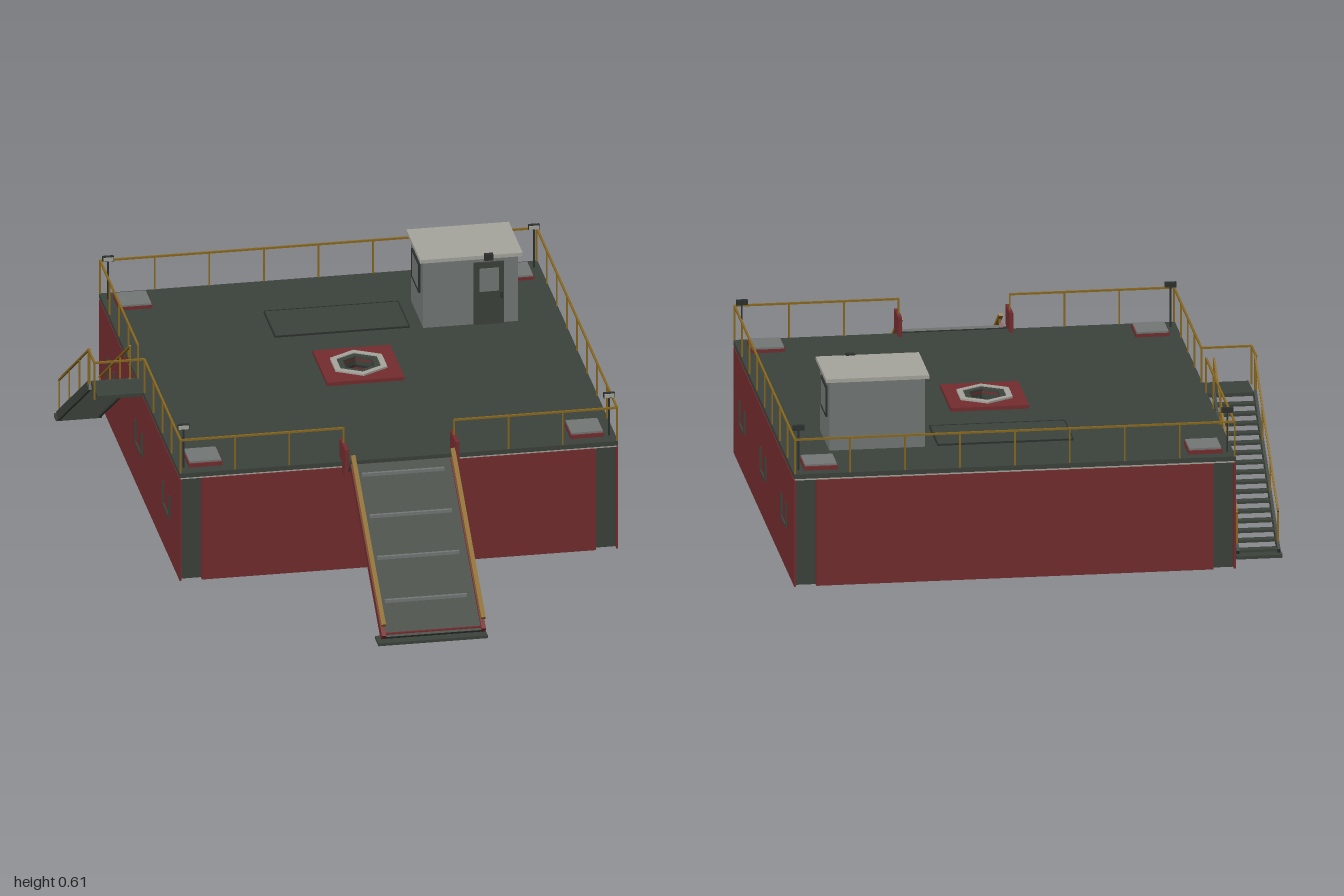
import * as THREE from 'three';

const material = (name, color, side = THREE.FrontSide) => {
  const m = new THREE.MeshStandardMaterial({ color, side });
  m.name = name;
  return m;
};
const red = material('hull red', 0x742c2e);
const green = material('deck green', 0x3c423b);
const dark = material('dark steel', 0x2b302d);
const gray = material('pad gray', 0x737876);
const pale = material('roof gray', 0xa6a69e);
const gold = material('rail yellow', 0x8a681e);

// Barge limits and centre
const L = -0.62, R = 0.77, B = -1, F = 0.4, CX = 0.075, CZ = -0.3, DECK = 0.367;

export function createModel() {
  const model = new THREE.Group();
  let target = model;
  const part = (name) => {
    target = new THREE.Group();
    target.name = name;
    model.add(target);
  };
  const add = (name, geo, mat) => {
    const m = new THREE.Mesh(geo, mat);
    m.name = name;
    target.add(m);
    return m;
  };
  // Box given by its limits on each axis
  const box = (name, mat, x0, x1, y0, y1, z0, z1) => {
    const m = add(name, new THREE.BoxGeometry(x1 - x0, y1 - y0, z1 - z0), mat);
    m.position.set((x0 + x1) / 2, (y0 + y1) / 2, (z0 + z1) / 2);
    return m;
  };
  // Bar of width w and height h running from a to b
  const bar = (name, mat, a, b, w = 0.005, h = w) => {
    const p = new THREE.Vector3(...a), q = new THREE.Vector3(...b);
    const m = add(name, new THREE.BoxGeometry(w, h, p.distanceTo(q)), mat);
    m.position.copy(p).add(q).multiplyScalar(0.5);
    m.lookAt(q);
    return m;
  };
  const hexPoints = (r) => Array.from({ length: 6 }, (_, i) => {
    const t = Math.PI / 2 + i * Math.PI / 3;
    return new THREE.Vector2(r * Math.cos(t), r * Math.sin(t));
  });
  const rect = (w, d) => [[-w, -d], [w, -d], [w, d], [-w, d]].map((p) => new THREE.Vector2(...p));
  // Flat slab around the centre well, with a hexagonal hole
  const slab = (name, mat, outline, hole, y, h) => {
    const s = new THREE.Shape(outline);
    s.holes.push(new THREE.Path(hexPoints(hole)));
    const g = new THREE.ExtrudeGeometry(s, { depth: h, bevelEnabled: false });
    g.rotateX(-Math.PI / 2);
    add(name, g, mat).position.set(CX, y, CZ);
  };

  // Hull: open below, with recessed dark corners on the front and back
  part('hull');
  const T = 0.07, top = 0.346;
  box('leftWall', red, R - T, R - 0.006, 0, top, B + 0.025, F - 0.025);
  box('rightWall', red, L + 0.006, L + T, 0, top, B + 0.025, F - 0.025);
  box('leftSkin', red, R - 0.006, R, 0, top, B, F);
  box('rightSkin', red, L, L + 0.006, 0, top, B, F);
  box('frontWall', red, L + T, R - T, 0, top, F - T, F);
  box('backWall', red, L + T, R - T, 0, top, B, B + T);
  for (const x of [L + 0.006, R - T]) {
    box('frontCornerPanel', green, x, x + T - 0.006, 0, top, F - 0.025, F - 0.019);
    box('backCornerPanel', green, x, x + T - 0.006, 0, top, B + 0.019, B + 0.025);
  }
  // Pale seam between hull and deck
  for (const x of [L + 0.004, R - 0.014]) box('sideSeam', pale, x, x + 0.01, top, 0.354, B + 0.004, F - 0.004);
  for (const z of [B + 0.004, F - 0.014]) box('endSeam', pale, L + 0.004, R - 0.004, top, 0.354, z, z + 0.01);
  // Handles on both sides
  for (const x of [L - 0.003, R + 0.003]) {
    for (const z of [0.18, -0.3, -0.78]) {
      bar('handleBottom', green, [x, 0.145, z - 0.055], [x, 0.145, z + 0.055], 0.006);
      for (const s of [-0.055, 0.055]) bar('handleSide', green, [x, 0.145, z + s], [x, 0.22, z + s], 0.006);
    }
  }

  // Deck with the frame beneath it
  part('deck');
  slab('deckPlate', green, rect(0.695, 0.7), 0.055, 0.352, DECK - 0.352);
  slab('deckUnderside', dark, rect(0.62, 0.62), 0.055, 0.344, 0.008);
  for (const o of [-0.45, -0.15, 0.15, 0.45]) {
    box('lengthBeam', green, CX + o - 0.015, CX + o + 0.015, 0.31, 0.345, B + T, F - T);
    box('crossBeam', green, L + T, R - T, 0.312, 0.345, CZ + o - 0.015, CZ + o + 0.015);
  }
  box('hatchPlate', green, -0.14, 0.285, DECK, 0.371, -0.765, -0.57);
  for (const z of [-0.765, -0.57]) box('hatchEdge', dark, -0.14, 0.285, DECK, 0.372, z - 0.002, z + 0.002);
  for (const x of [-0.14, 0.285]) box('hatchEdge', dark, x - 0.002, x + 0.002, DECK, 0.372, -0.765, -0.57);

  // Centre well
  part('centreWell');
  slab('wellPlate', red, rect(0.123, 0.125), 0.055, DECK, 0.012);
  slab('wellCollar', pale, hexPoints(0.095), 0.074, 0.379, 0.006);
  slab('wellLip', green, hexPoints(0.074), 0.052, 0.374, 0.008);

  // Corner pads and floodlights
  part('cornerFittings');
  for (const x of [-0.53, 0.68]) {
    for (const [z, s] of [[0.303, 1], [-0.907, -1]]) {
      box('padBase', red, x - 0.053, x + 0.053, DECK, 0.379, z - 0.052 + s * 0.004, z + 0.052 + s * 0.004);
      box('padTop', gray, x - 0.05, x + 0.05, 0.379, 0.385, z - 0.05, z + 0.05);
      const lx = x < 0 ? -0.6 : 0.75, lz = z > 0 ? 0.352 : -0.952;
      bar('lightPost', dark, [lx, DECK, lz], [lx, 0.5, lz], 0.005);
      box('lightHousing', dark, lx - 0.018, lx + 0.018, 0.497, 0.513, lz - 0.007, lz + 0.005);
      box('lightLens', pale, lx - 0.016, lx + 0.016, 0.499, 0.511, lz + 0.005, lz + 0.008);
    }
  }

  // Perimeter railing, open at the ramp and the stairs
  part('railing');
  const railing = (a, b, n) => {
    const RAIL = 0.48;
    bar('topRail', gold, [a[0], RAIL, a[1]], [b[0], RAIL, b[1]], 0.006);
    for (let i = 0; i <= n; i++) {
      const x = a[0] + (b[0] - a[0]) * i / n, z = a[1] + (b[1] - a[1]) * i / n;
      bar('railPost', gold, [x, 0.355, z], [x, RAIL, z], 0.005);
    }
  };
  const l = L + 0.003, r = R - 0.003, f = F - 0.003, b = B + 0.003;
  railing([l, f], [-0.1, f], 3);
  railing([0.25, f], [r, f], 3);
  railing([r, f], [r, b], 8);
  railing([l, b], [r, b], 8);
  railing([l, f], [l, -0.23], 4);
  railing([l, -0.34], [l, b], 4);

  // Cabin
  part('cabin');
  box('cabinWalls', gray, 0.327, 0.628, DECK, 0.595, -0.77, -0.558);
  box('cabinRoof', pale, 0.315, 0.64, 0.593, 0.605, -0.785, -0.545);
  box('door', green, 0.487, 0.582, DECK, 0.578, -0.558, -0.551);
  box('doorWindow', gray, 0.504, 0.566, 0.48, 0.558, -0.551, -0.548);
  box('doorHandle', dark, 0.571, 0.577, 0.455, 0.475, -0.551, -0.545);
  box('doorLamp', dark, 0.518, 0.546, 0.59, 0.61, -0.552, -0.536);
  for (const x of [0.326, 0.629]) {
    box('sideWindow', gray, x - 0.003, x + 0.003, 0.47, 0.56, -0.73, -0.61);
    for (const y of [0.468, 0.56]) box('windowFrame', dark, x - 0.005, x + 0.005, y - 0.003, y + 0.003, -0.733, -0.607);
    for (const z of [-0.73, -0.61]) box('windowFrame', dark, x - 0.005, x + 0.005, 0.468, 0.56, z - 0.003, z + 0.003);
  }

  // Boarding ramp with cleats, stringers, low rails and hinge brackets
  part('ramp');
  const slope = (z) => 0.365 - (z - 0.43) * 0.652;
  bar('rampPlate', green, [0.08, slope(0.43), 0.43], [0.08, slope(0.97), 0.97], 0.31, 0.01);
  for (const z of [0.47, 0.6, 0.73, 0.865]) {
    bar('cleat', gray, [-0.055, slope(z) + 0.01, z], [0.205, slope(z) + 0.01, z], 0.01);
  }
  for (const x of [-0.078, 0.238]) {
    bar('stringer', red, [x, slope(0.43) - 0.005, 0.43], [x, slope(0.97) - 0.002, 0.97], 0.014, 0.032);
    bar('rampRail', gold, [x, slope(0.44) + 0.043, 0.44], [x, slope(0.97) + 0.043, 0.97], 0.014, 0.01);
    for (const z of [0.47, 0.6, 0.73, 0.865]) {
      bar('rampRailPost', gold, [x, slope(z), z], [x, slope(z) + 0.043, z], 0.007);
    }
  }
  for (const x of [-0.1, 0.25]) {
    box('hingeBracket', red, x - 0.006, x + 0.006, 0.365, 0.43, 0.36, 0.455);
    box('hingeFoot', red, x - 0.006, x + 0.006, 0.33, 0.365, 0.4, 0.44);
  }
  bar('hingePin', dark, [-0.105, 0.355, 0.43], [0.255, 0.355, 0.43], 0.014);
  box('rampToe', red, -0.085, 0.245, 0.008, 0.026, 0.952, 0.966);
  box('rampFoot', green, -0.1, 0.247, 0, 0.009, 0.94, 1);

  // Side stairs with landing and handrails
  part('stairs');
  const stair = (z) => 0.355 + (z + 0.34) * 0.632;
  const xo = -0.775, xi = -0.642;
  box('landing', green, -0.765, L, 0.354, 0.366, -0.35, -0.23);
  box('stairFoot', green, -0.78, -0.635, 0, 0.01, -0.91, -0.87);
  for (const x of [xo + 0.004, xi]) {
    bar('stairStringer', green, [x, stair(-0.335), -0.335], [x, stair(-0.885), -0.885], 0.009, 0.03);
    bar('handrail', gold, [x, 0.48, -0.34], [x, stair(-0.87) + 0.12, -0.87], 0.006);
    for (const z of [-0.34, -0.515, -0.69, -0.865]) {
      bar('handrailPost', gold, [x, stair(z), z], [x, stair(z) + 0.125, z], 0.005);
    }
  }
  for (let i = 0; i < 16; i++) {
    const z = -0.37 - i * 0.0335;
    box('tread', green, xo + 0.004, xi, stair(z) - 0.004, stair(z) + 0.004, z - 0.014, z + 0.014);
  }
  railing([xo, -0.34], [xo, -0.232], 1);
  railing([xo, -0.232], [l, -0.232], 1);

  return model;
}
